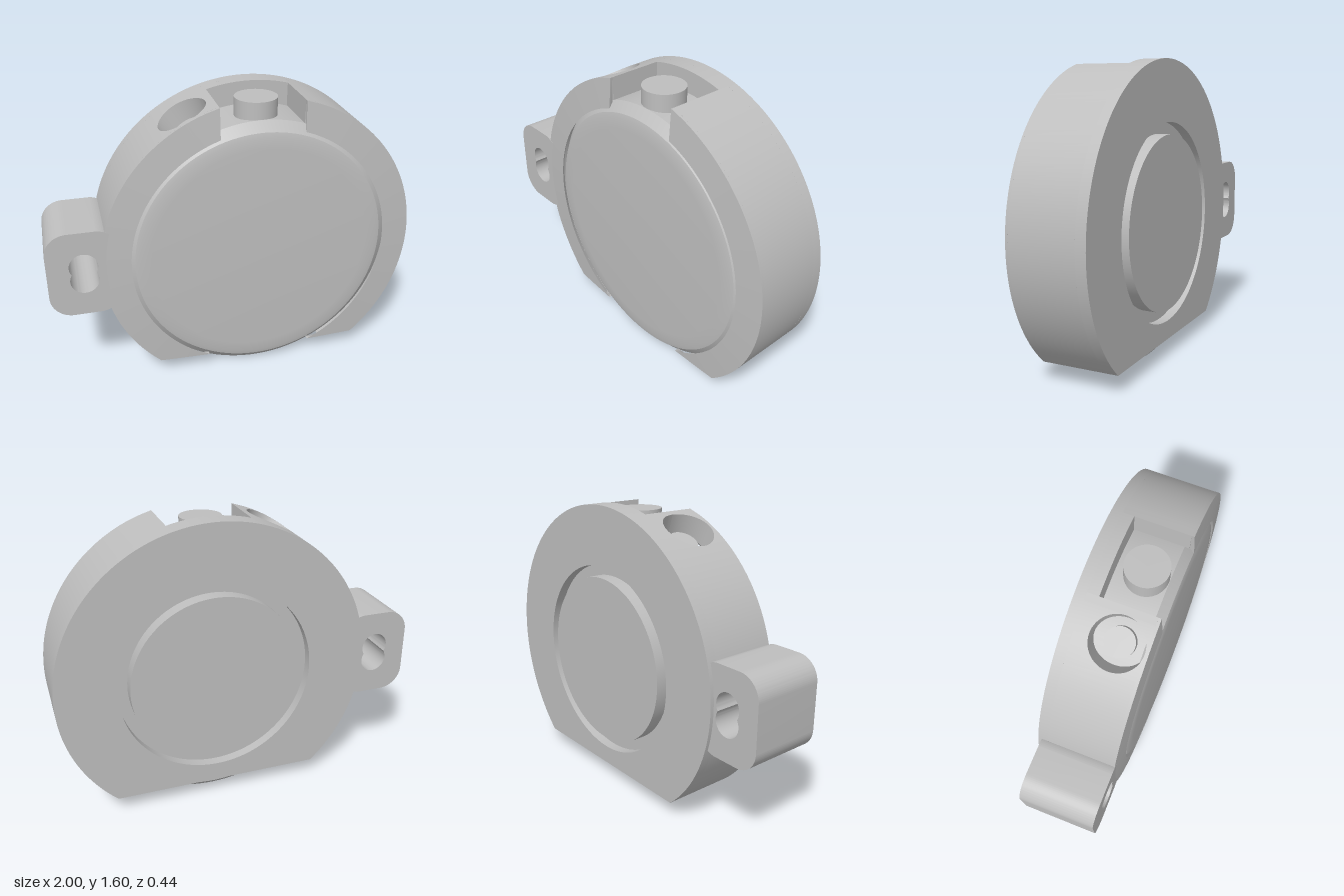
import * as THREE from 'three';
import { toCreasedNormals } from 'three/addons/utils/BufferGeometryUtils.js';

const R = 0.86, CAVITY = 0.74, LIP = 0.705, FLAT = 0.64; // housing radii, distance to the bottom flat
const BACK = -0.215, PLATE = -0.16, SHOULDER = 0.19;     // housing depths
const HOLE = { a: -27, half: 9.17, r: 0.137, z: 0.05 };
const rad = THREE.MathUtils.degToRad;

const smooth = (g) => toCreasedNormals(g, 0.45);

// Angles are degrees clockwise from the top
const polar = (a, r, z) => [r * Math.sin(rad(a)), r * Math.cos(rad(a)), z];
const outerR = (a) => {
  const c = -Math.cos(rad(a));
  return c > 0 ? Math.min(R, FLAT / c) : R;
};
const frontZ = (r) => 0.217 - 0.012 * (r - LIP) / (R - LIP);

function steps(a, b, n) {
  return Array.from({ length: n + 1 }, (_, i) => a + (b - a) * i / n);
}

// Solid swept through four-cornered sections, capped at both ends
function sweep(sections) {
  const pos = [];
  const quad = (a, b, c, d) => pos.push(...a, ...b, ...c, ...a, ...c, ...d);
  for (let i = 0; i + 1 < sections.length; i++) {
    const p = sections[i], q = sections[i + 1];
    for (let j = 0; j < 4; j++) {
      const k = (j + 1) % 4;
      quad(p[j], p[k], q[k], q[j]);
    }
  }
  const s = sections[0], e = sections[sections.length - 1];
  quad(s[3], s[2], s[1], s[0]);
  quad(e[0], e[1], e[2], e[3]);
  const g = new THREE.BufferGeometry();
  g.setAttribute('position', new THREE.Float32BufferAttribute(pos, 3));
  return smooth(g);
}

// Section of the side wall; the inner angle may differ from the outer one
function wallSection(a, zb, zt, ai = a) {
  const ro = outerR(a), ri = Math.min(CAVITY, ro);
  return [polar(a, ro, zb), polar(a, ro, zt), polar(ai, ri, zt), polar(ai, ri, zb)];
}

// Section of the tapered front lip
function lipSection(a, ai = a) {
  const ro = outerR(a), rb = Math.min(CAVITY - 0.01, ro), rt = Math.min(LIP, ro);
  return [polar(a, ro, SHOULDER), polar(a, ro, frontZ(ro)), polar(ai, rt, frontZ(rt)), polar(ai, rb, SHOULDER)];
}

export function createModel() {
  const grey = new THREE.MeshStandardMaterial({ color: 0xbebebe });
  grey.name = 'grey';
  const model = new THREE.Group();
  model.name = 'pocketCase';
  const body = new THREE.Group();
  body.name = 'caseAssembly';
  body.position.set(0.14, 0.74, 0);
  model.add(body);

  const add = (name, geometry, parent = body) => {
    const mesh = new THREE.Mesh(geometry, grey);
    mesh.name = name;
    parent.add(mesh);
    return mesh;
  };

  // Housing back plate with flat bottom and round window
  const housing = new THREE.Group();
  housing.name = 'housing';
  body.add(housing);
  const chord = Math.acos(FLAT / R);
  const plate = new THREE.Shape();
  plate.absarc(0, 0, R, -Math.PI / 2 + chord, Math.PI * 1.5 - chord, false);
  plate.closePath();
  const windowHole = new THREE.Path();
  windowHole.absarc(0, 0, 0.535, 0, Math.PI * 2, true);
  plate.holes.push(windowHole);
  const plateGeo = new THREE.ExtrudeGeometry(plate, { depth: PLATE - BACK, bevelEnabled: false, curveSegments: 96 });
  add('backPlate', smooth(plateGeo.translate(0, 0, BACK)), housing);

  // Side wall, interrupted by the notch at the top and the radial hole
  const kink = 180 - THREE.MathUtils.radToDeg(chord);
  const wallEnd = 149.9, lipEnd = 155.2;
  const h0 = HOLE.a - HOLE.half, h1 = HOLE.a + HOLE.half;
  const full = (a) => wallSection(a, PLATE, SHOULDER);
  add('rightWall', sweep([
    wallSection(14.9, PLATE, SHOULDER, 17.3),
    ...steps(19, kink, 50).map(full), ...steps(kink, wallEnd, 6).slice(1).map(full),
  ]), housing);
  add('leftWall', sweep([
    ...steps(-wallEnd, -kink, 6).map(full), ...steps(-kink, h0, 44).slice(1).map(full),
  ]), housing);
  const holeSteps = steps(0, Math.PI, 28).map((t) => HOLE.a - HOLE.half * Math.cos(t));
  const holeHeight = (a) => Math.sqrt(Math.max(0, HOLE.r ** 2 - (R * Math.sin(rad(a - HOLE.a))) ** 2));
  add('wallBehindHole', sweep(holeSteps.map((a) => wallSection(a, PLATE, HOLE.z - holeHeight(a)))), housing);
  add('wallBeforeHole', sweep(holeSteps.map((a) => wallSection(a, HOLE.z + holeHeight(a), SHOULDER))), housing);
  add('wallBesideNotch', sweep([full(h1), wallSection(-15.2, PLATE, SHOULDER, -17.7)]), housing);
  add('wallBehindNotch', sweep(
    steps(-15.2, 14.9, 14).map((a) => wallSection(a, PLATE, -0.1, a * 1.163)),
  ), housing);

  // Front lip on both sides of the notch
  add('rightLip', sweep([
    lipSection(14.9, 18.3),
    ...steps(20, kink, 50).map((a) => lipSection(a)), ...steps(kink, lipEnd, 8).slice(1).map((a) => lipSection(a)),
  ]), housing);
  add('leftLip', sweep([
    ...steps(-lipEnd, -kink, 8).map((a) => lipSection(a)), ...steps(-kink, -20, 50).slice(1).map((a) => lipSection(a)),
    lipSection(-15.2, -18.6),
  ]), housing);

  // Mounting lug with a pinched slot
  const x0 = -1.14, x1 = -0.76, y0 = -0.245, y1 = 0.24, c = 0.12;
  const lug = new THREE.Shape();
  lug.absarc(x1 - c, y1 - c, c, 0, Math.PI / 2, false);
  lug.absarc(x0 + c, y1 - c, c, Math.PI / 2, Math.PI, false);
  lug.absarc(x0 + c, y0 + c, c, Math.PI, Math.PI * 1.5, false);
  lug.absarc(x1 - c, y0 + c, c, Math.PI * 1.5, Math.PI * 2, false);
  lug.closePath();
  const slot = new THREE.Path();
  const pinch = Math.asin(0.04 / 0.075);
  slot.absarc(-0.95, 0.04, 0.075, -pinch, Math.PI + pinch, false);
  slot.absarc(-0.95, -0.04, 0.075, Math.PI - pinch, Math.PI * 2 + pinch, false);
  lug.holes.push(slot);
  const lugGeo = new THREE.ExtrudeGeometry(lug, { depth: 0.402, bevelEnabled: false, curveSegments: 20 });
  add('mountingLug', smooth(lugGeo.translate(0, 0, -0.195)));

  // Inner disc with chamfered rims and a raised boss at the back
  const profile = [
    [0, -0.222], [0.472, -0.222], [0.472, -0.145], [0.7, -0.145], [0.735, -0.11],
    [0.735, 0.165], [0.685, 0.212], [0.66, 0.218], [0.6, 0.221], [0, 0.222],
  ].map(([r, z]) => new THREE.Vector2(r, z));
  const discGeo = new THREE.LatheGeometry(profile, 128).rotateX(Math.PI / 2);
  add('innerDisc', smooth(discGeo));

  // Stem standing in the notch
  const stem = add('topStem', new THREE.CylinderGeometry(0.113, 0.113, 0.125, 48));
  stem.position.set(0, 0.7625, 0.05);

  // Small button at the bottom of the radial hole
  const button = add('sideButton', new THREE.CylinderGeometry(0.077, 0.077, 0.08, 40));
  button.position.set(...polar(HOLE.a, 0.74, HOLE.z));
  button.rotation.z = -rad(HOLE.a);

  return model;
}
